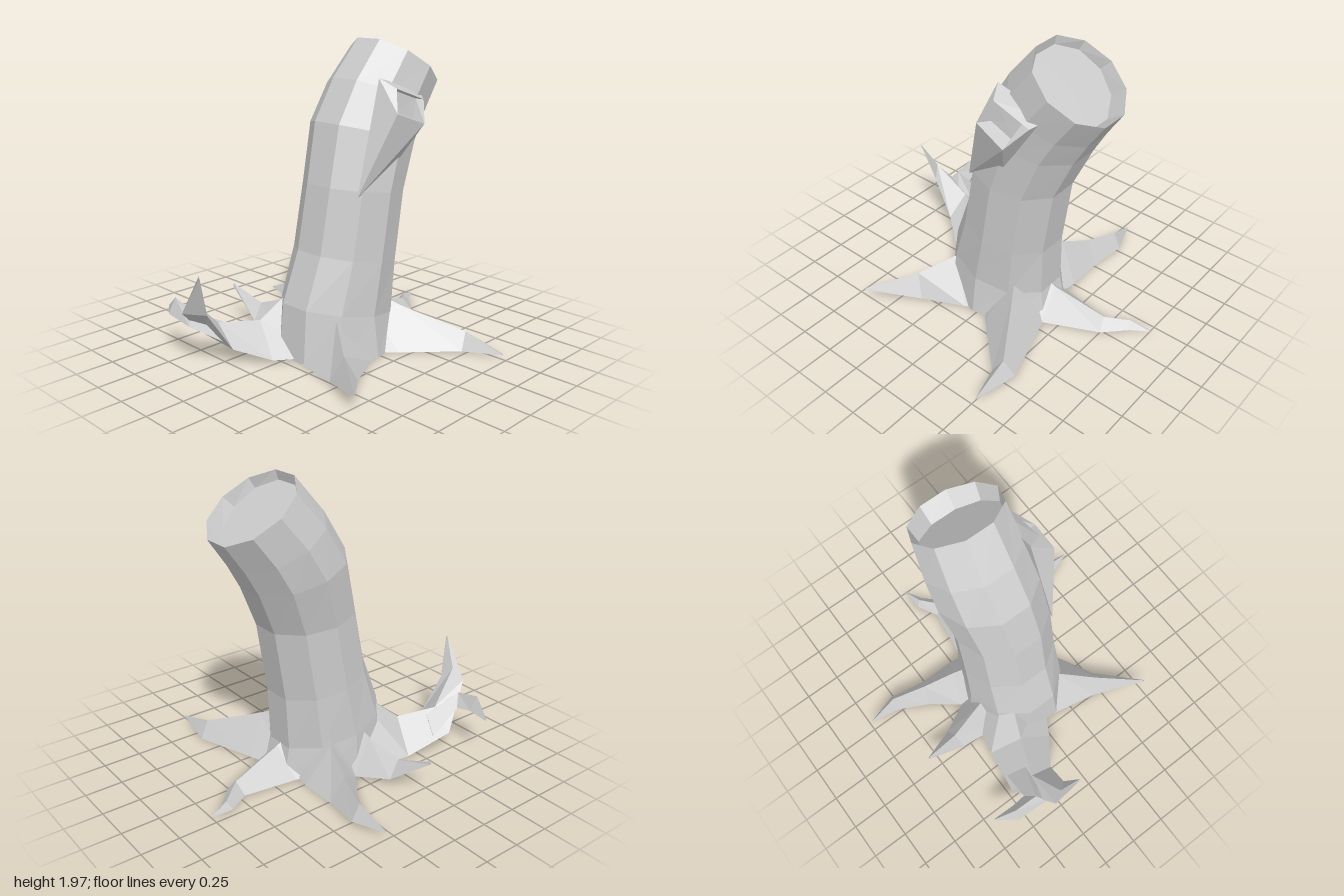
import * as THREE from 'three';

const bark = new THREE.MeshStandardMaterial({ color: 0xcccccc, flatShading: true, side: THREE.DoubleSide });

// Skin a list of equal-sized rings and close both ends with fans.
function loft(name, rings) {
  const pos = [];
  const tri = (...pts) => pts.forEach((p) => pos.push(p.x, p.y, p.z));
  const n = rings[0].length;
  const middle = (ring) => ring.reduce((s, p) => s.add(p), new THREE.Vector3()).divideScalar(n);
  const first = rings[0], last = rings[rings.length - 1];
  const c0 = middle(first), c1 = middle(last);
  for (let i = 0; i < n; i++) {
    const j = (i + 1) % n;
    for (let k = 0; k + 1 < rings.length; k++) {
      const a = rings[k], b = rings[k + 1];
      tri(a[i], b[i], a[j]);
      tri(b[i], b[j], a[j]);
    }
    tri(c0, first[i], first[j]);
    tri(c1, last[j], last[i]);
  }
  const g = new THREE.BufferGeometry();
  g.setAttribute('position', new THREE.Float32BufferAttribute(pos, 3));
  g.computeVertexNormals();
  const mesh = new THREE.Mesh(g, bark);
  mesh.name = name;
  return mesh;
}

// Ten-sided trunk ring spanning a left and right point, and a back and front depth.
function trunkRing([lx, ly, rx, ry, back, front]) {
  return Array.from({ length: 10 }, (_, i) => {
    const a = (i + 0.5) * Math.PI / 5;
    const u = Math.cos(a) / Math.cos(Math.PI / 10) / 2, v = Math.sin(a) / 2;
    return new THREE.Vector3(
      (lx + rx) / 2 + (rx - lx) * u,
      (ly + ry) / 2 + (ry - ly) * u,
      (back + front) / 2 + (front - back) * v);
  });
}

// Root with a ridged triangular section; stations are [x, z, half width, top y, bottom y].
function root(name, stations) {
  const rings = stations.map(([x, z, w, top, bottom], i) => {
    const p = stations[Math.max(i - 1, 0)];
    const q = stations[Math.min(i + 1, stations.length - 1)];
    const len = Math.hypot(q[0] - p[0], q[1] - p[1]);
    const sx = -(q[1] - p[1]) / len * w, sz = (q[0] - p[0]) / len * w;
    return [
      new THREE.Vector3(x, top, z),
      new THREE.Vector3(x - sx, bottom, z - sz),
      new THREE.Vector3(x + sx, bottom, z + sz),
    ];
  });
  return loft(name, rings);
}

export function createModel() {
  const group = new THREE.Group();
  group.name = 'treeStump';

  // Leaning trunk; the last ring drops inside the rim as the sunken cut face
  group.add(loft('trunk', [
    [-0.44, 0.01, 0.38, 0.01, -0.34, 0.40],
    [-0.40, 0.35, 0.34, 0.20, -0.32, 0.36],
    [-0.28, 0.68, 0.35, 0.55, -0.30, 0.36],
    [-0.20, 1.10, 0.42, 1.02, -0.29, 0.36],
    [-0.10, 1.48, 0.54, 1.30, -0.33, 0.35],
    [0.06, 1.74, 0.63, 1.46, -0.32, 0.34],
    [0.26, 1.98, 0.75, 1.64, -0.28, 0.33],
    [0.25, 1.92, 0.64, 1.57, -0.26, 0.30],
  ].map(trunkRing)));

  // Broken branch stub swelling from the trunk, with a shallow square hollow
  const quad = (pts) => pts.map((p) => new THREE.Vector3(...p));
  group.add(loft('branchStub', [
    quad([[0.10, 1.76, 0.26], [0.48, 1.66, 0.26], [0.18, 1.20, 0.31], [-0.12, 1.05, 0.29]]),
    quad([[0.15, 1.70, 0.36], [0.41, 1.61, 0.36], [0.30, 1.48, 0.46], [0.08, 1.56, 0.43]]),
    quad([[0.17, 1.68, 0.345], [0.35, 1.62, 0.345], [0.30, 1.50, 0.37], [0.13, 1.56, 0.36]]),
  ]));

  // Spreading roots
  const roots = {
    frontRightRoot: [[-0.12, 0.10, 0.28, 0.42, 0.01], [-0.27, 0.26, 0.22, 0.29, 0.01],
      [-0.44, 0.49, 0.085, 0.18, 0.02], [-0.66, 0.78, 0.005, 0.115, 0.105]],
    frontLeftRoot: [[0.12, 0.10, 0.24, 0.38, 0.01], [0.27, 0.34, 0.18, 0.26, 0.01],
      [0.49, 0.69, 0.075, 0.12, 0.01], [0.51, 0.97, 0.005, 0.045, 0.035]],
    leftRoot: [[0.15, 0.02, 0.24, 0.30, 0.01], [0.37, 0.01, 0.18, 0.19, 0.01],
      [0.73, -0.05, 0.07, 0.09, 0.01], [0.87, -0.16, 0.04, 0.06, 0.01], [1.0, -0.2, 0.005, 0.025, 0.015]],
    backLeftRoot: [[0.08, -0.10, 0.24, 0.38, 0.01], [0.18, -0.32, 0.17, 0.27, 0.01],
      [0.25, -0.54, 0.09, 0.18, 0.01], [0.32, -0.77, 0.055, 0.14, 0.03], [0.30, -0.98, 0.005, 0.055, 0.045]],
    backRoot: [[-0.08, -0.08, 0.22, 0.38, 0.01], [-0.12, -0.34, 0.15, 0.24, 0.01],
      [-0.17, -0.57, 0.08, 0.16, 0.05], [-0.21, -0.82, 0.005, 0.25, 0.23]],
    rightRoot: [[-0.15, -0.10, 0.28, 0.50, 0.01], [-0.48, -0.22, 0.22, 0.22, 0.03],
      [-0.74, -0.32, 0.16, 0.25, 0.12], [-0.96, -0.26, 0.08, 0.46, 0.38], [-1.0, -0.15, 0.005, 0.67, 0.65]],
    rightRootFork: [[-0.66, -0.32, 0.13, 0.22, 0.11], [-0.88, -0.40, 0.08, 0.35, 0.27],
      [-0.88, -0.57, 0.05, 0.39, 0.29], [-0.83, -0.71, 0.005, 0.29, 0.28]],
  };
  for (const [name, stations] of Object.entries(roots)) group.add(root(name, stations));

  return group;
}
